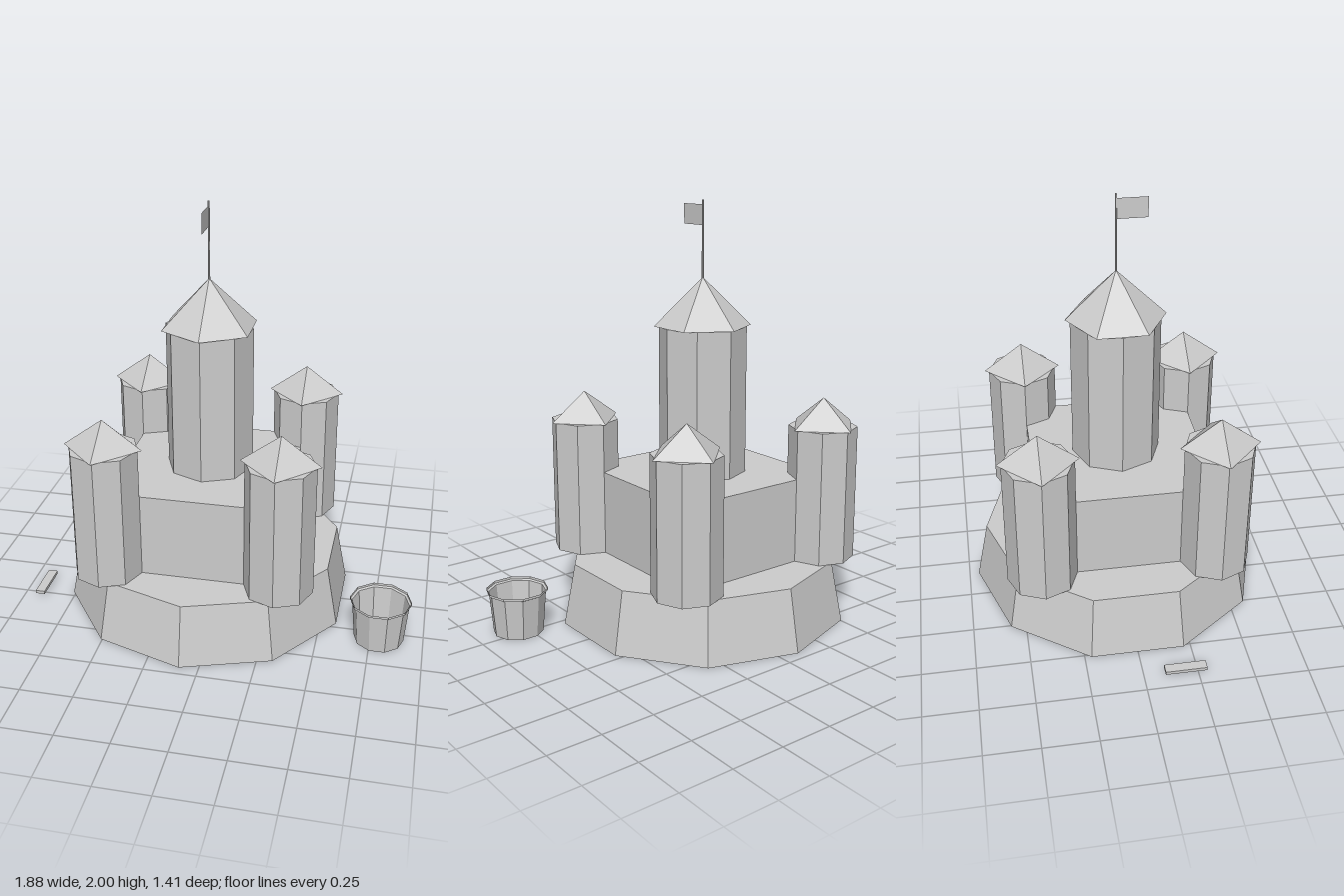
import * as THREE from 'three';

export function createModel() {
  const model = new THREE.Group();
  model.name = 'sandCastleSet';
  const sand = new THREE.MeshStandardMaterial({ color: 0xcccccc, flatShading: true, side: THREE.DoubleSide });
  sand.name = 'plainGrey';

  const add = (parent, name, geometry, x, y, z) => {
    const mesh = new THREE.Mesh(geometry, sand);
    mesh.name = name;
    mesh.position.set(x, y, z);
    parent.add(mesh);
    return mesh;
  };

  // Prism or tapered prism standing between two heights
  const prism = (parent, name, rTop, rBottom, y0, y1, sides, x = 0, z = 0) =>
    add(parent, name, new THREE.CylinderGeometry(rTop, rBottom, y1 - y0, sides), x, (y0 + y1) / 2, z);

  // Pointed roof
  const roof = (parent, name, radius, y0, y1, sides, x = 0, z = 0) =>
    add(parent, name, new THREE.ConeGeometry(radius, y1 - y0, sides), x, (y0 + y1) / 2, z);

  const castle = new THREE.Group();
  castle.name = 'castle';
  castle.position.x = -0.092;
  model.add(castle);

  // Ten-sided mound and square keep
  prism(castle, 'mound', 0.648, 0.705, 0, 0.295, 10);
  add(castle, 'keep', new THREE.BoxGeometry(0.82, 0.41, 0.82), 0, 0.5, 0);

  // Four corner towers
  for (const sx of [-1, 1]) {
    for (const sz of [-1, 1]) {
      const tower = new THREE.Group();
      tower.name = 'cornerTower';
      tower.position.set(sx * 0.41, 0, sz * 0.41);
      castle.add(tower);
      prism(tower, 'towerWall', 0.164, 0.164, 0.295, 0.945, 8);
      roof(tower, 'towerRoof', 0.185, 0.945, 1.082, 4);
    }
  }

  // Central tower with its roof
  prism(castle, 'centralTower', 0.21, 0.21, 0.705, 1.415, 8);
  roof(castle, 'centralRoof', 0.233, 1.415, 1.645, 6);

  // Flagpole and flag flying to the front
  prism(castle, 'flagpole', 0.005, 0.005, 1.62, 2, 6);
  add(castle, 'flag', new THREE.PlaneGeometry(0.14, 0.095), 0, 1.932, 0.072).rotation.y = Math.PI / 2;

  // Open bucket with a small lip
  const bucketProfile = [[0, 0], [0.118, 0], [0.135, 0.198], [0.145, 0.203], [0.145, 0.215]]
    .map(([r, y]) => new THREE.Vector2(r, y));
  add(model, 'bucket', new THREE.LatheGeometry(bucketProfile, 10, Math.PI / 2), 0.79, 0, 0.29);

  // Small stick lying beside the castle
  add(model, 'stick', new THREE.BoxGeometry(0.046, 0.016, 0.193), -0.917, 0.024, 0.193);

  return model;
}
